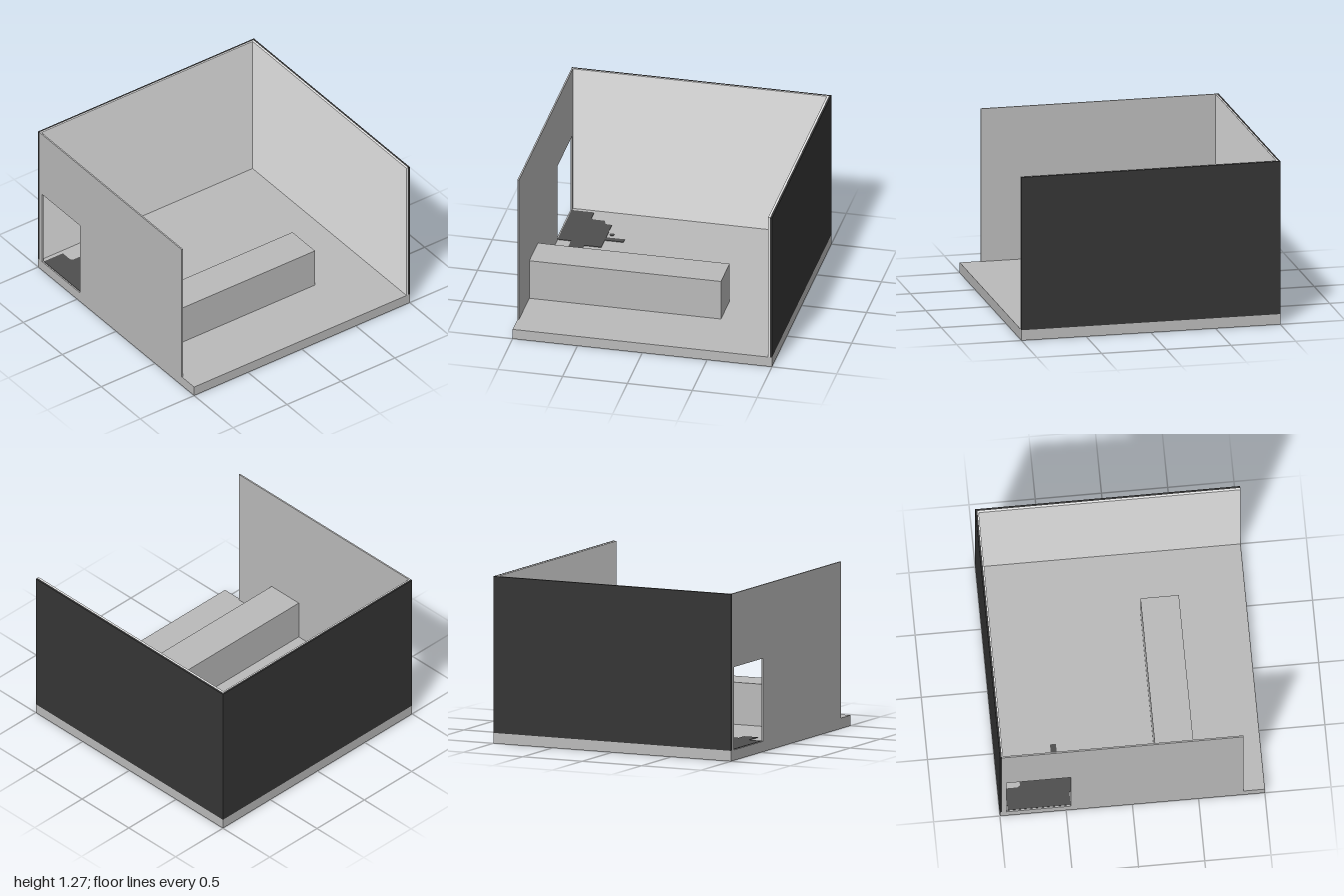
import * as THREE from 'three';

const material = (name, color) => {
  const m = new THREE.MeshStandardMaterial({ color });
  m.name = name;
  return m;
};

export function createModel() {
  const model = new THREE.Group();
  model.name = 'room';
  const grey = material('mid grey', 0xbababa);
  const pale = material('pale grey', 0xe6e6e6);
  const dark = material('charcoal', 0x353535);
  const rugGrey = material('rug grey', 0x4e4e4e);

  const add = (name, geometry, mat) => {
    const mesh = new THREE.Mesh(geometry, mat);
    mesh.name = name;
    model.add(mesh);
    return mesh;
  };
  // Box given by its two extreme corners
  const box = (name, mat, [x0, y0, z0], [x1, y1, z1]) =>
    add(name, new THREE.BoxGeometry(x1 - x0, y1 - y0, z1 - z0)
      .translate((x0 + x1) / 2, (y0 + y1) / 2, (z0 + z1) / 2), mat);

  const floorY = 0.08, topY = 1.27;

  box('floor', grey, [-1, 0, -1], [1, floorY, 1]);
  box('counter', grey, [-0.99, floorY, 0.2], [0.49, 0.4, 0.49]);

  // Dark outer cladding and pale inner lining
  box('backCladding', dark, [-1, floorY, -1], [1, topY, -0.985]);
  box('leftCladding', dark, [0.985, floorY, -0.985], [1, topY, 1]);
  box('backLining', pale, [-0.99, floorY, -0.985], [0.985, topY, -0.975]);
  box('leftLining', pale, [0.97, floorY, -0.975], [0.985, topY, 1]);

  // Thin right wall with a doorway; the outline is drawn in (-z, y)
  const wall = new THREE.Shape([
    [-0.84, floorY], [0.465, floorY], [0.465, 0.71], [0.95, 0.71],
    [0.95, floorY], [0.985, floorY], [0.985, topY], [-0.84, topY],
  ].map(([a, b]) => new THREE.Vector2(a, b)));
  const wallGeometry = new THREE.ExtrudeGeometry(wall, { depth: 0.012, bevelEnabled: false });
  wallGeometry.rotateY(Math.PI / 2).translate(-1, 0, 0);
  add('rightWall', wallGeometry, grey);

  // Ragged flat rug by the doorway, drawn in (x, -z)
  const rug = new THREE.Shape([
    [-0.99, -0.94], [-0.815, -0.94], [-0.815, -0.85], [-0.8, -0.83],
    [-0.71, -0.83], [-0.69, -0.78], [-0.64, -0.775], [-0.64, -0.575],
    [-0.495, -0.575], [-0.495, -0.53], [-0.64, -0.53], [-0.64, -0.415],
    [-0.77, -0.415], [-0.77, -0.325], [-0.885, -0.32], [-0.885, -0.465],
    [-0.99, -0.465],
  ].map(([x, z]) => new THREE.Vector2(x, -z)));
  const spot = new THREE.Shape().absarc(-0.607, 0.63, 0.018, 0, Math.PI * 2);
  const rugGeometry = new THREE.ExtrudeGeometry([rug, spot],
    { depth: 0.004, bevelEnabled: false, curveSegments: 6 });
  rugGeometry.rotateX(-Math.PI / 2).translate(0, floorY, 0);
  add('rug', rugGeometry, rugGrey);

  return model;
}
